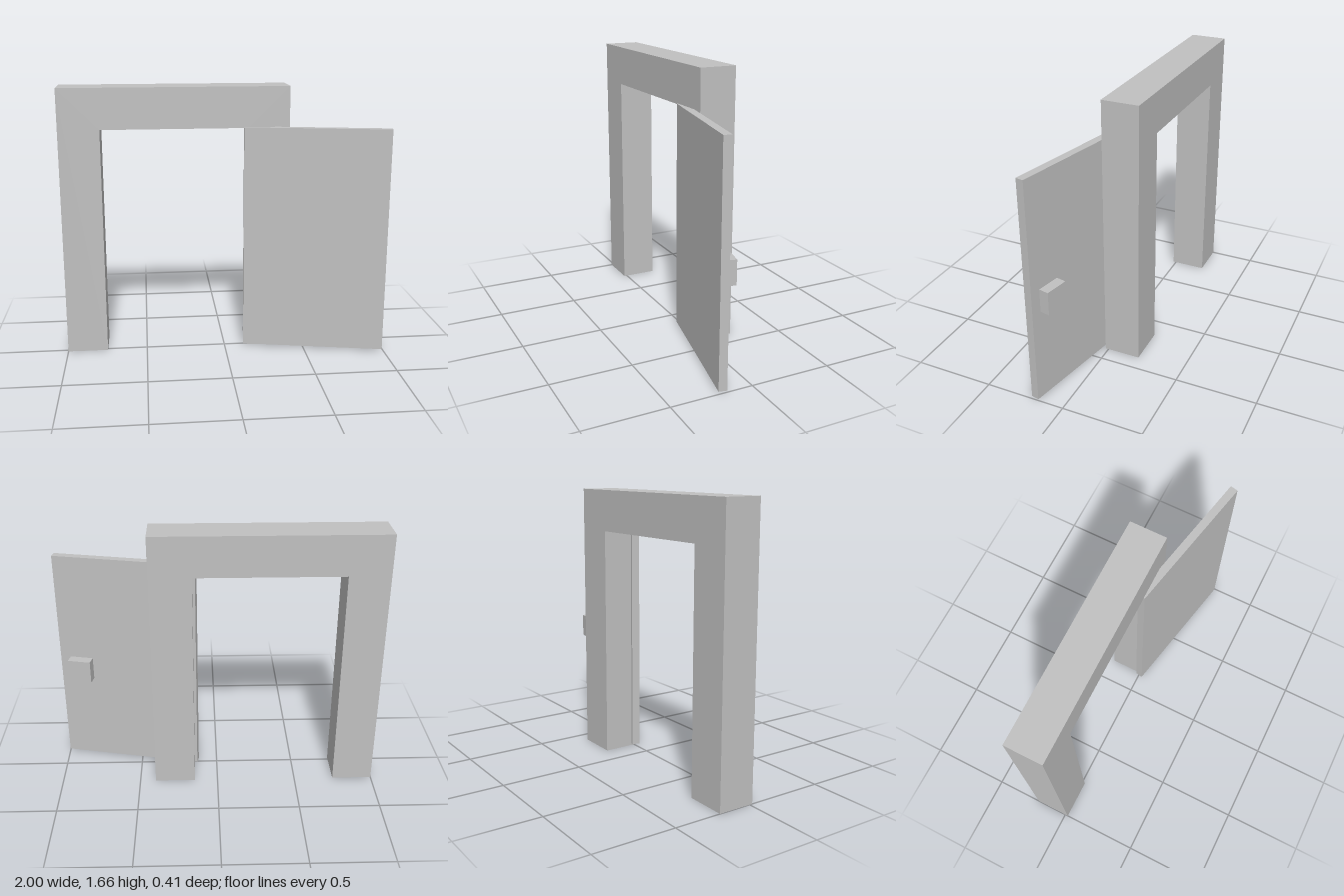
import * as THREE from 'three';

export function createModel() {
  const model = new THREE.Group();
  const grey = new THREE.MeshStandardMaterial({ color: 0xc0c0c0 });
  grey.name = 'plain grey';

  const add = (parent, name, geometry, x, y, z) => {
    const mesh = new THREE.Mesh(geometry, grey);
    mesh.name = name;
    mesh.position.set(x, y, z);
    parent.add(mesh);
  };

  // Door frame: two posts and a lintel as one solid outline
  const outline = new THREE.Shape([
    [-1, 0], [-0.75, 0], [-0.75, 1.415], [0.147, 1.415],
    [0.147, 0], [0.4, 0], [0.4, 1.665], [-1, 1.665],
  ].map(([x, y]) => new THREE.Vector2(x, y)));
  const frame = new THREE.ExtrudeGeometry(outline, { depth: 0.226, bevelEnabled: false });
  add(model, 'doorFrame', frame, 0, 0, -0.207);

  // Open door, turned about its front hinge edge
  const door = new THREE.Group();
  door.name = 'door';
  door.position.set(0.12, 0, 0.026);
  door.rotation.y = -0.2047;
  model.add(door);

  const length = 0.889, thickness = 0.049, height = 1.41;
  add(door, 'doorPanel', new THREE.BoxGeometry(length, height, thickness),
    length / 2, 0.01 + height / 2, -thickness / 2);

  // Block handle on the back face
  const depth = 0.062;
  add(door, 'doorHandle', new THREE.BoxGeometry(0.146, 0.146, depth),
    0.75, 0.662, -thickness - depth / 2);

  return model;
}
